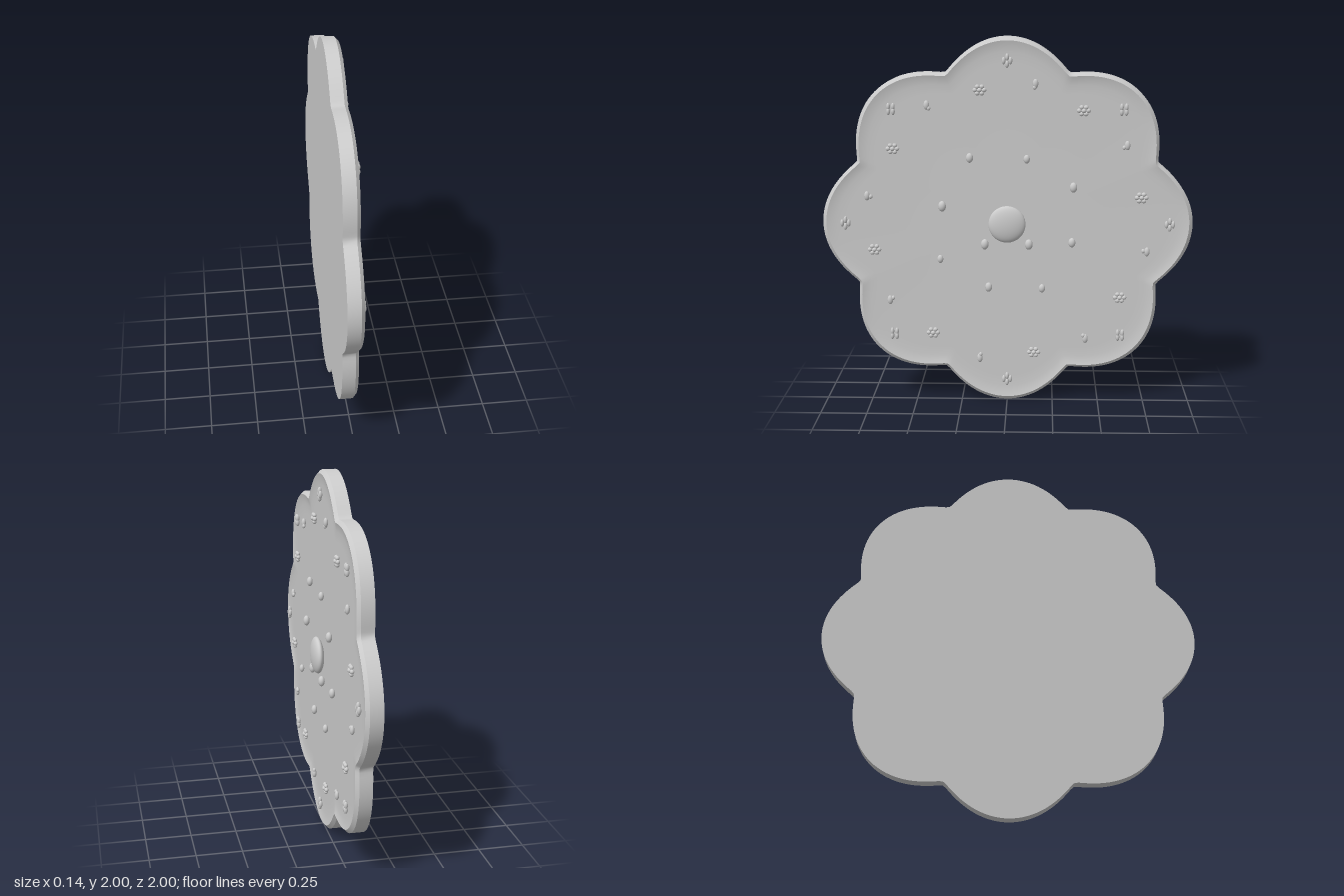
import * as THREE from 'three';

const SEGMENTS = 256;

// Eight-lobed outline; angle 0 points up and grows towards +z
const lobeRadius = (a) => 0.87 + 0.13 * Math.min(1, Math.sqrt(Math.cos(4 * a) ** 2 + 0.002));

// Sweeps a profile of [x, radius factor] points around the scalloped outline
function scallopedStrip(profile) {
  const pos = [], index = [];
  profile.forEach(([x, f], i) => {
    for (let j = 0; j < SEGMENTS; j++) {
      const a = (j / SEGMENTS) * Math.PI * 2, r = f * lobeRadius(a);
      pos.push(x, 1 + r * Math.cos(a), r * Math.sin(a));
      if (i === profile.length - 1) continue;
      const p = i * SEGMENTS + j, q = i * SEGMENTS + (j + 1) % SEGMENTS;
      index.push(p, q, p + SEGMENTS, q, q + SEGMENTS, p + SEGMENTS);
    }
  });
  const geo = new THREE.BufferGeometry();
  geo.setAttribute('position', new THREE.Float32BufferAttribute(pos, 3));
  geo.setIndex(index);
  geo.computeVertexNormals();
  return geo;
}

export function createModel() {
  const model = new THREE.Group();
  model.name = 'scallopedPlate';
  const grey = new THREE.MeshStandardMaterial({ color: 0xcccccc });
  grey.name = 'paleGrey';

  const add = (name, geo, parent = model) => {
    const mesh = new THREE.Mesh(geo, grey);
    mesh.name = name;
    parent.add(mesh);
    return mesh;
  };

  // Plate: flat back, upright side, bevelled lip and shallow dish
  add('plateBack', scallopedStrip([[-0.075, 0.001], [-0.075, 1]]));
  add('plateSide', scallopedStrip([[-0.075, 1], [-0.006, 1]]));
  add('plateLip', scallopedStrip([[-0.006, 1], [0.012, 0.98]]));
  add('plateDish', scallopedStrip([
    [0.012, 0.98], [0.006, 0.955], [0.002, 0.92], [0, 0.86], [0, 0.5], [0, 0.001],
  ]));

  // Ellipsoids: position and half-sizes in x, y, z
  const ball = new THREE.SphereGeometry(1, 16, 12);
  const pebble = (name, p, s, parent) => {
    const mesh = add(name, ball, parent);
    mesh.position.set(...p);
    mesh.scale.set(...s);
  };
  const cluster = (name, radius, angle) => {
    const g = new THREE.Group();
    g.name = name;
    g.position.set(0.02, 1 + radius * Math.cos(angle), radius * Math.sin(angle));
    model.add(g);
    return g;
  };

  // Central boss
  const boss = add('centreBoss', new THREE.SphereGeometry(1, 40, 28));
  boss.position.set(0.035, 1, 0);
  boss.scale.set(0.033, 0.1, 0.1);

  for (let k = 0; k < 8; k++) {
    const lobe = k * Math.PI / 4;

    // Four-petal flower in each lobe
    const flower = cluster('lobeFlower', 0.875, lobe);
    for (let i = 0; i < 4; i++) {
      const a = lobe + i * Math.PI / 2;
      pebble('petal', [0, 0.018 * Math.cos(a), 0.018 * Math.sin(a)], [0.011, 0.02, 0.01], flower);
    }

    // Seven-berry rosette beside each lobe
    const rosette = cluster('berryRosette', 0.735, lobe + 0.2);
    pebble('berry', [0.006, 0, 0], [0.012, 0.012, 0.013], rosette);
    for (let i = 0; i < 6; i++) {
      const a = i * Math.PI / 3 + Math.PI / 2;
      pebble('berry', [0, 0.02 * Math.cos(a), 0.024 * Math.sin(a)], [0.011, 0.012, 0.013], rosette);
    }

    // Bud with a small tip pointing inwards
    const a = lobe - 0.196;
    const bud = cluster('bud', 0.77, a);
    pebble('budBody', [0, 0, 0], [0.012, 0.025, 0.015], bud);
    pebble('budTip', [0.002, -0.021 * Math.cos(a), -0.021 * Math.sin(a)], [0.009, 0.012, 0.01], bud);
  }

  // Loose beads: x, y, z, size
  [
    [0.033, 1.36, 0.2, 1], [0.035, 1.355, -0.105, 0.9], [0.048, 1.205, -0.355, 1.05],
    [0.022, 1.095, 0.35, 1.1], [0.03, 0.9, -0.35, 1], [0.048, 0.81, 0.36, 0.85],
    [0.03, 0.65, 0.1, 1], [0.03, 0.645, -0.19, 0.9], [0.036, 0.89, 0.12, 1.1],
    [0.036, 0.89, -0.118, 1.1],
  ].forEach(([x, y, z, s]) => pebble('bead', [x, y, z], [0.016 * s, 0.026 * s, 0.019 * s]));

  return model;
}
